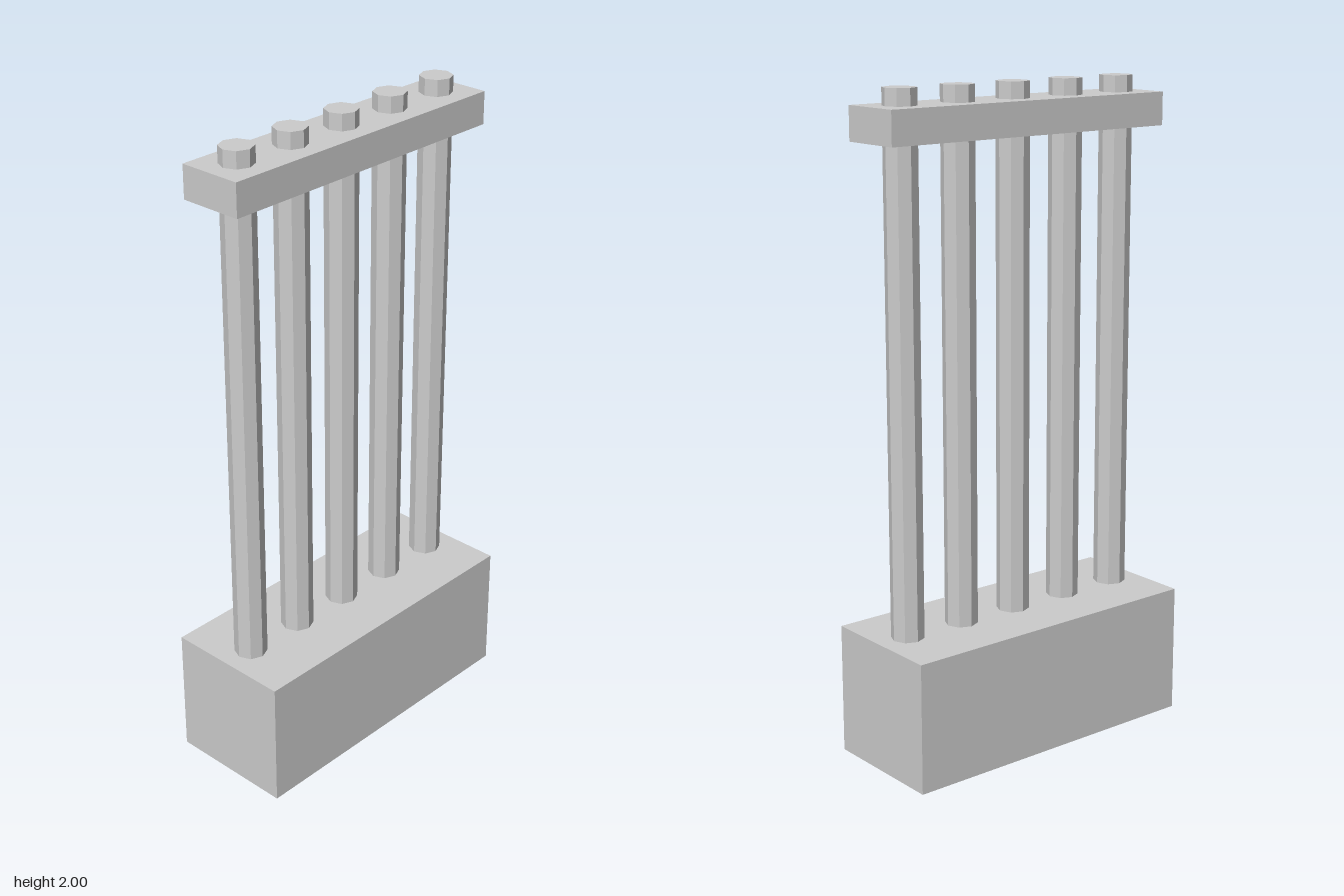
import * as THREE from 'three';

export function createModel() {
  const group = new THREE.Group();
  const grey = new THREE.MeshStandardMaterial({ color: 0xcccccc, flatShading: true });
  grey.name = 'light grey';

  const add = (name, geometry, x, y) => {
    const mesh = new THREE.Mesh(geometry, grey);
    mesh.name = name;
    mesh.position.set(x, y, 0);
    group.add(mesh);
  };

  // Solid plinth and the rail that ties the bars together
  add('base', new THREE.BoxGeometry(1, 0.4, 0.4), 0, 0.2);
  add('topRail', new THREE.BoxGeometry(1, 0.1, 0.2), 0, 1.9);

  // Five octagonal bars rising from the base through the rail
  const bar = new THREE.CylinderGeometry(0.05, 0.05, 1.6, 8);
  for (let i = 0; i < 5; i++) add(`bar${i + 1}`, bar, -0.4 + i * 0.2, 1.2);

  return group;
}
